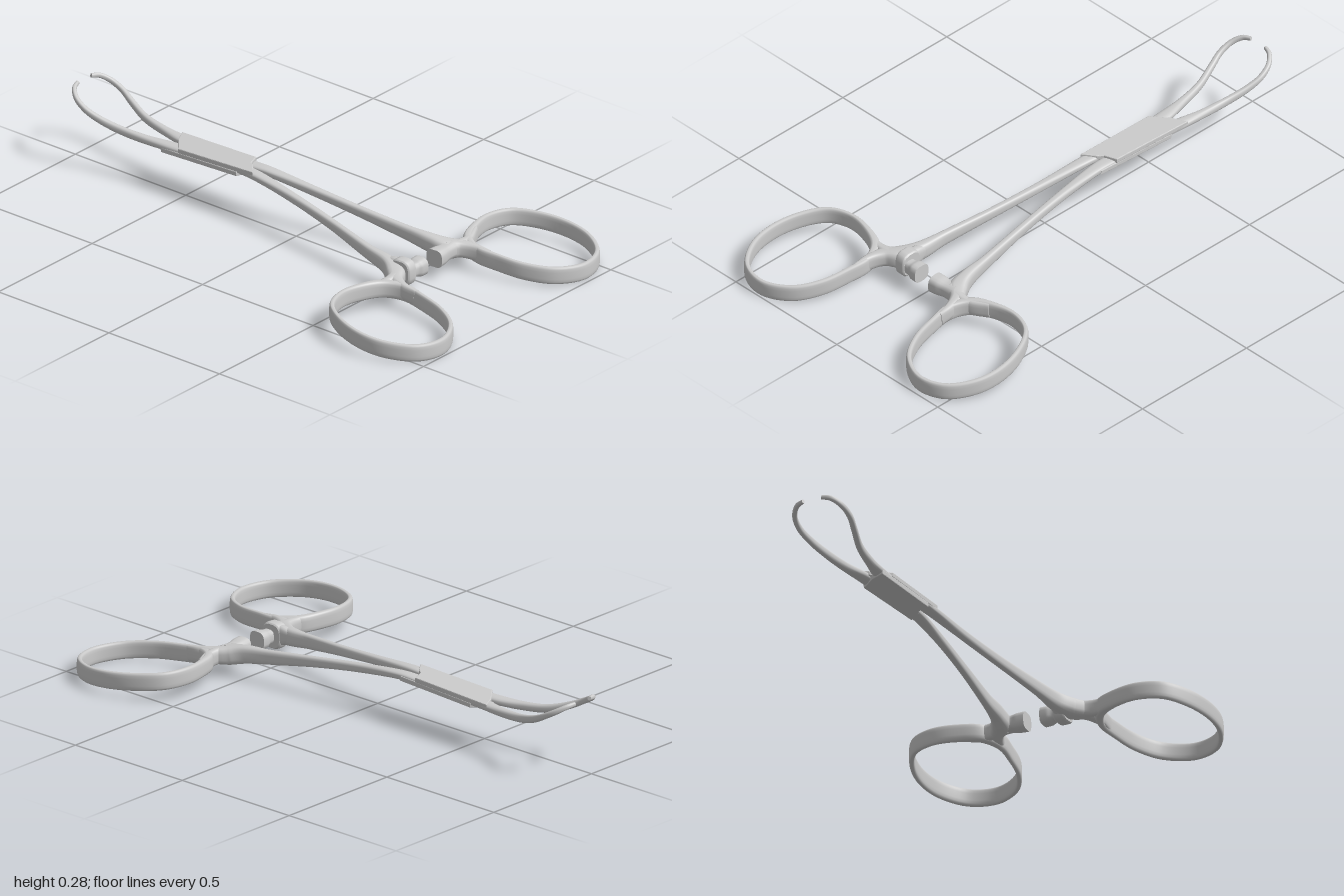
import * as THREE from 'three';

const steel = new THREE.MeshStandardMaterial({ color: 0xcccccc, side: THREE.DoubleSide });
const UP = new THREE.Vector3(0, 1, 0);

// Sweep a rounded section along stations [x, y, z, width, height]
function loft(stations, { closed = false, steps = 40, sides = 16, power = 3 } = {}) {
  const path = new THREE.CatmullRomCurve3(stations.map(s => new THREE.Vector3(s[0], s[1], s[2])), closed);
  const size = new THREE.CatmullRomCurve3(stations.map(s => new THREE.Vector3(s[3], s[4], 0)), closed, 'catmullrom', 0.4);
  const rows = closed ? steps : steps + 1;
  const pos = [], index = [];
  const round = v => Math.sign(v) * Math.abs(v) ** (2 / power);
  for (let i = 0; i < rows; i++) {
    const t = i / steps, c = path.getPoint(t), d = size.getPoint(t), dir = path.getTangent(t);
    const side = dir.clone().cross(UP).normalize();
    const up = side.clone().cross(dir).normalize();
    for (let j = 0; j < sides; j++) {
      const a = ((j + 0.5) / sides) * Math.PI * 2;
      const p = c.clone().addScaledVector(side, round(Math.cos(a)) * d.x / 2)
        .addScaledVector(up, round(Math.sin(a)) * d.y / 2);
      pos.push(p.x, p.y, p.z);
    }
  }
  for (let i = 0; i < steps; i++) {
    for (let j = 0; j < sides; j++) {
      const k = (j + 1) % sides, r = i * sides, n = ((i + 1) % rows) * sides;
      index.push(r + j, n + j, r + k, r + k, n + j, n + k);
    }
  }
  // Flat end caps with their own vertices
  if (!closed) {
    for (const row of [0, steps]) {
      const base = pos.length / 3, from = row * sides * 3;
      pos.push(...pos.slice(from, from + sides * 3));
      for (let j = 1; j < sides - 1; j++) {
        index.push(base, base + (row ? j + 1 : j), base + (row ? j : j + 1));
      }
    }
  }
  const g = new THREE.BufferGeometry();
  g.setAttribute('position', new THREE.Float32BufferAttribute(pos, 3));
  g.setIndex(index);
  g.computeVertexNormals();
  return g;
}

// Horizontal plate from an [x, z] outline
function plate(outline, y, thickness) {
  const shape = new THREE.Shape(outline.map(([x, z]) => new THREE.Vector2(x, -z)));
  const bevel = 0.003;
  const g = new THREE.ExtrudeGeometry(shape, {
    depth: thickness - 2 * bevel, bevelThickness: bevel, bevelSize: bevel, bevelOffset: -bevel, bevelSegments: 2,
  });
  return g.rotateX(-Math.PI / 2).translate(0, y + bevel, 0);
}

export function createModel() {
  const group = new THREE.Group();
  const add = (name, geometry) => {
    const mesh = new THREE.Mesh(geometry, steel);
    mesh.name = name;
    group.add(mesh);
    return mesh;
  };

  // Shanks, running from the joint into the finger rings
  add('rightShank', loft([
    [0.012, 0.176, -0.26, 0.05, 0.022], [0.006, 0.174, -0.18, 0.044, 0.027], [-0.015, 0.155, 0, 0.032, 0.032],
    [-0.047, 0.13, 0.2, 0.028, 0.038], [-0.087, 0.102, 0.4, 0.032, 0.052], [-0.103, 0.09, 0.5, 0.05, 0.064],
    [-0.132, 0.08, 0.56, 0.07, 0.068], [-0.175, 0.077, 0.6, 0.052, 0.06],
    [-0.196, 0.072, 0.65, 0.034, 0.06], [-0.201, 0.065, 0.71, 0.018, 0.058],
  ], { steps: 60 }));
  add('leftShank', loft([
    [0.062, 0.172, -0.26, 0.05, 0.022], [0.064, 0.172, -0.18, 0.046, 0.027], [0.075, 0.155, 0, 0.032, 0.032],
    [0.093, 0.13, 0.2, 0.028, 0.038], [0.115, 0.102, 0.4, 0.032, 0.052], [0.126, 0.09, 0.5, 0.05, 0.064],
    [0.142, 0.08, 0.555, 0.07, 0.068], [0.178, 0.077, 0.595, 0.052, 0.06],
    [0.196, 0.072, 0.645, 0.034, 0.06], [0.203, 0.065, 0.7, 0.018, 0.058],
  ], { steps: 60 }));

  // Finger rings: egg-shaped bands sloping down toward the front
  const ring = [
    [-0.4, 0.542], [-0.31, 0.554, 0.026], [-0.23, 0.592, 0.036], [-0.197, 0.66, 0.026], [-0.205, 0.75],
    [-0.228, 0.85], [-0.285, 0.94], [-0.385, 0.987], [-0.485, 0.96], [-0.55, 0.87],
    [-0.566, 0.77], [-0.542, 0.66], [-0.485, 0.573],
  ];
  const band = (sign, dz) => loft(ring.map(([x, z, w = 0.02]) =>
    [sign * x, 0.034 + (0.99 - z) * 0.1, z + dz, w, 0.064]), { closed: true, steps: 78, power: 3.5 });
  add('rightFingerRing', band(1, 0));
  add('leftFingerRing', band(-1, -0.01));
  // Fillets that widen each ring where it meets its shank
  for (const s of [-1, 1]) {
    add(s < 0 ? 'rightRingWeb' : 'leftRingWeb', loft([
      [s * 0.13, 0.08, 0.565, 0.06, 0.062], [s * 0.18, 0.078, 0.587, 0.042, 0.06],
      [s * 0.23, 0.075, 0.585, 0.032, 0.06], [s * 0.3, 0.078, 0.556, 0.02, 0.058],
    ], { steps: 20 }));
  }

  // Ratchet stubs facing each other
  add('rightRatchetCollar', loft([
    [-0.116, 0.083, 0.567, 0.075, 0.085], [-0.11, 0.083, 0.567, 0.085, 0.094],
    [-0.08, 0.083, 0.567, 0.085, 0.094], [-0.074, 0.083, 0.567, 0.075, 0.085],
  ], { steps: 12 }));
  add('rightRatchetGuard', loft([
    [-0.096, 0.095, 0.48, 0.035, 0.04], [-0.095, 0.09, 0.53, 0.04, 0.07], [-0.095, 0.083, 0.57, 0.04, 0.08],
  ], { steps: 10 }));
  add('rightRatchetStub', loft([
    [-0.1, 0.08, 0.578, 0.05, 0.05], [-0.06, 0.08, 0.578, 0.05, 0.052],
    [-0.04, 0.08, 0.578, 0.064, 0.064], [-0.014, 0.08, 0.578, 0.066, 0.066],
  ], { steps: 16 }));
  add('leftRatchetStub', loft([
    [0.15, 0.08, 0.565, 0.08, 0.064], [0.11, 0.08, 0.575, 0.058, 0.056],
    [0.08, 0.08, 0.578, 0.066, 0.064], [0.052, 0.08, 0.58, 0.068, 0.066],
  ], { steps: 16 }));

  // Lap joint: two mirrored plates with slanted shoulders, one over the other
  const lap = [[-0.014, -0.18], [0.032, -0.215], [0.046, -0.235], [0.092, -0.252],
    [0.096, -0.59], [0.044, -0.565], [-0.02, -0.512]];
  const tilt = g => g.translate(0, 0, 0.4).rotateX(-0.035).translate(0, 0, -0.4);
  add('upperJointPlate', tilt(plate(lap, 0.169, 0.018)));
  add('lowerJointPlate', tilt(plate(lap.map(([x, z]) => [0.075 - x, z]).reverse(), 0.152, 0.018)));

  // Jaws: bow outward, rise, and hook in to facing tips
  for (const s of [-1, 1]) {
    const cx = 0.038;
    add(s < 0 ? 'rightJaw' : 'leftJaw', loft([
      [cx + s * 0.03, 0.166, -0.5, 0.05, 0.025], [cx + s * 0.033, 0.165, -0.57, 0.05, 0.028],
      [cx + s * 0.048, 0.166, -0.67, 0.032, 0.03], [cx + s * 0.065, 0.177, -0.77, 0.024, 0.03],
      [cx + s * 0.088, 0.203, -0.85, 0.022, 0.026], [cx + s * 0.1, 0.23, -0.905, 0.02, 0.022],
      [cx + s * 0.092, 0.255, -0.95, 0.018, 0.02], [cx + s * 0.066, 0.274, -0.98, 0.016, 0.018],
      [cx + s * 0.036, 0.28, -0.991, 0.013, 0.015],
    ], { steps: 56, power: 2.5 }));
  }
  return group;
}
